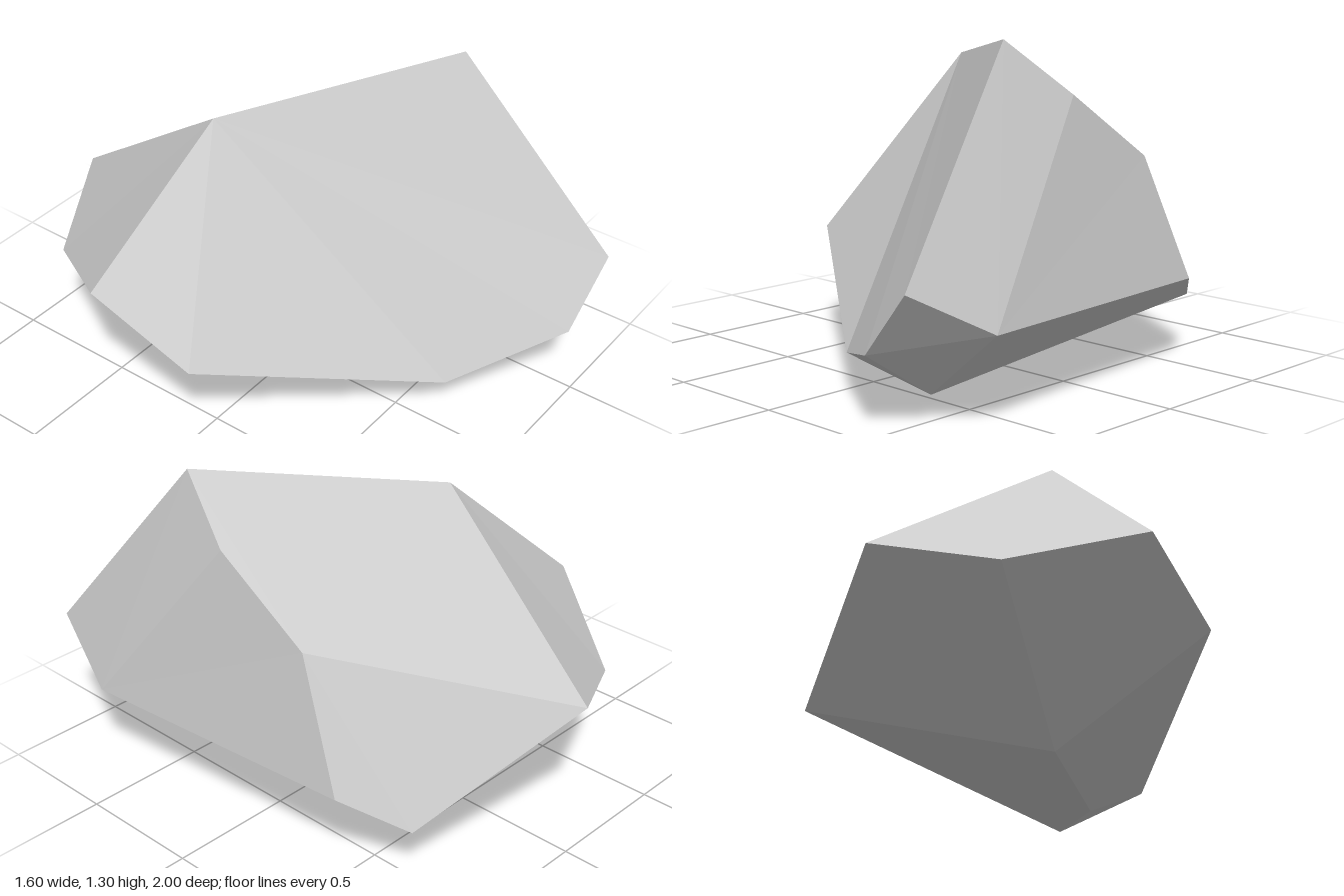
import * as THREE from 'three';

// Corners of the faceted boulder
const corners = {
  // crown
  B: [-0.23, 1.17, -0.2], C: [0.55, 1.3, 0.385], D: [0.64, 1.095, 0.12], E: [0.64, 0.835, -0.285],
  // girdle
  A: [-0.8, 0.65, -0.33], K: [-0.74, 0.435, 0.08], H: [0.7, 0.53, 1.0], G: [0.8, 0.355, 0.675],
  F: [0.7, 0.345, -0.495], N: [0.53, 0.22, -0.71], L: [-0.075, 0.59, -1.0], M: [-0.5, 0.47, -0.775],
  // foot
  I: [0.48, 0.285, 0.975], J: [0.06, 0.16, 0.685], Q: [0.49, 0.09, 0.68],
  R: [0.11, 0.03, 0.42], P: [-0.265, 0, -0.23],
};

// Facets as loops of corners, counter-clockwise from outside
const facets = [
  'CDELB', 'BLMA', // top slopes
  'AKB', 'KJB', 'BJIHC', // front, with a shallow valley from B to J
  'IQGH', 'JRQI', 'KPRJ', 'RPNQ', // undersides
  'CHGD', 'GFED', 'GQNF', // right side
  'EFNL', 'PMLN', 'PKAM', // back and left
];

// Fans each facet into triangles with their own corners for crisp edges
function facetGeometry() {
  const positions = [];
  for (const loop of facets) {
    for (let i = 1; i < loop.length - 1; i++) {
      positions.push(...corners[loop[0]], ...corners[loop[i]], ...corners[loop[i + 1]]);
    }
  }
  const geometry = new THREE.BufferGeometry();
  geometry.setAttribute('position', new THREE.Float32BufferAttribute(positions, 3));
  geometry.computeVertexNormals();
  return geometry;
}

export function createModel() {
  const group = new THREE.Group();
  group.name = 'rock';
  const boulder = new THREE.Mesh(
    facetGeometry(),
    new THREE.MeshStandardMaterial({ color: 0xcccccc, flatShading: true })
  );
  boulder.name = 'boulder';
  group.add(boulder);
  return group;
}
